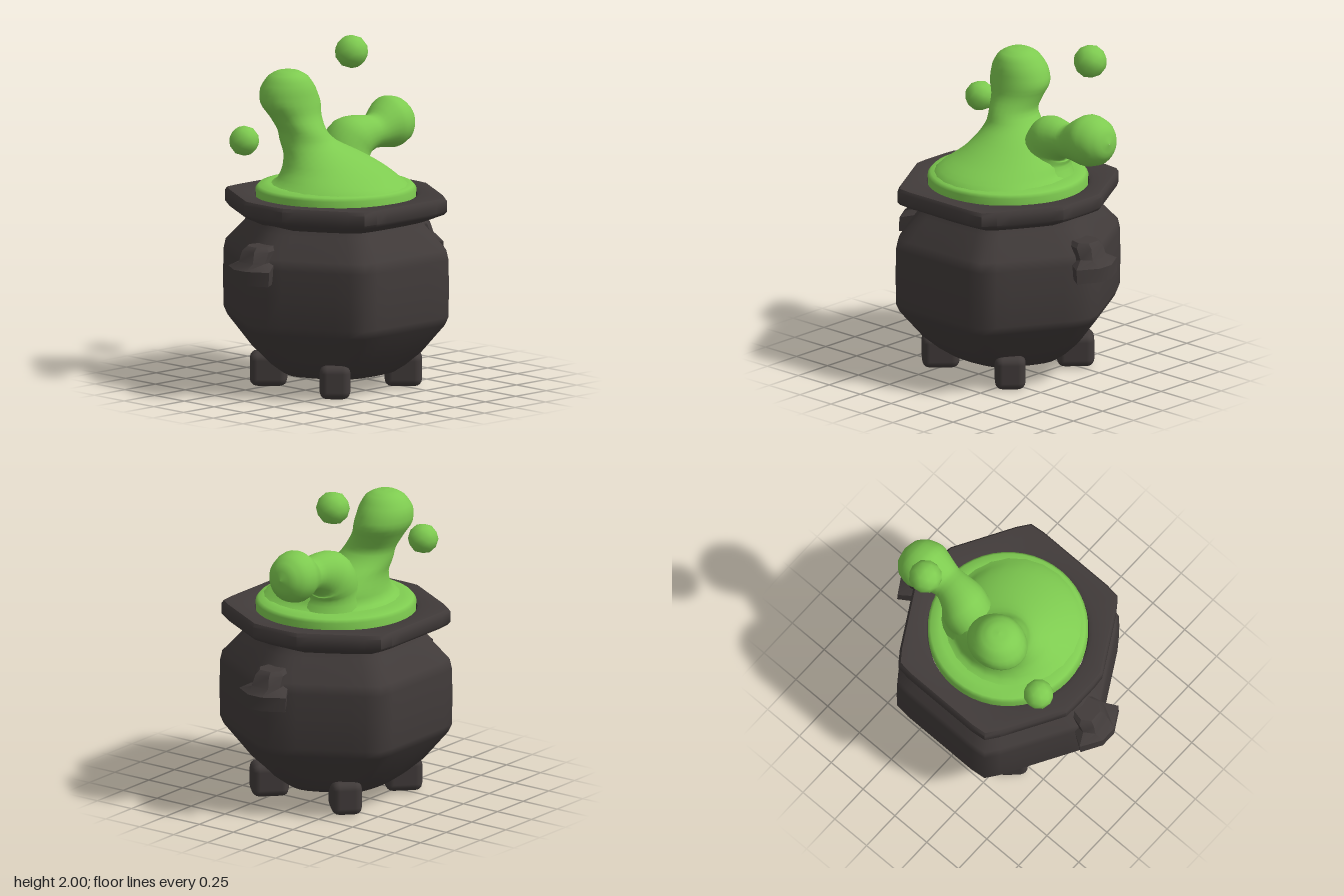
import * as THREE from 'three';
import { toCreasedNormals } from 'three/addons/utils/BufferGeometryUtils.js';
import { RoundedBoxGeometry } from 'three/addons/geometries/RoundedBoxGeometry.js';

const iron = new THREE.MeshStandardMaterial({ color: 0x413b3a });
iron.name = 'dark iron';
const slime = new THREE.MeshStandardMaterial({ color: 0x7ecb50 });
slime.name = 'green potion';

// Skin a stack of closed rings, listed from bottom to top.
function loft(rings) {
  const n = rings[0].length;
  const index = [];
  for (let i = 0; i < rings.length - 1; i++) {
    for (let j = 0; j < n; j++) {
      const k = (j + 1) % n;
      const a = i * n + j, b = i * n + k, c = b + n, d = a + n;
      index.push(a, b, c, a, c, d);
    }
  }
  const geo = new THREE.BufferGeometry().setFromPoints(rings.flat());
  geo.setIndex(index);
  geo.computeVertexNormals();
  return geo;
}

function part(name, geo, material) {
  const mesh = new THREE.Mesh(geo, material);
  mesh.name = name;
  return mesh;
}

// Ring between a circle (hex = 0) and a hexagon (hex = 1) with clipped front and back tips.
function potRing(y, r, hex, tip, n = 48) {
  return Array.from({ length: n }, (_, j) => {
    const t = (j / n) * Math.PI * 2;
    const toFlat = ((t + Math.PI * 2) % (Math.PI / 3)) - Math.PI / 6;
    let d = 1 / Math.cos(toFlat);
    d = Math.min(d, 1.135, tip / Math.max(Math.abs(Math.cos(t)), 0.01));
    d = 1 + (d - 1) * hex;
    return new THREE.Vector3(Math.sin(t) * r * d, y, Math.cos(t) * r * d);
  });
}

// Smooth stalk through keys [x, y, z, half width, half depth, tilt towards the back].
function stalk(keys, steps, n = 24) {
  const pos = new THREE.CatmullRomCurve3(keys.map((k) => new THREE.Vector3(k[0], k[1], k[2])));
  const size = new THREE.CatmullRomCurve3(keys.map((k) => new THREE.Vector3(k[3], k[4], k[5])));
  const rings = [];
  for (let i = 0; i <= steps; i++) {
    const p = pos.getPoint(i / steps), s = size.getPoint(i / steps);
    rings.push(Array.from({ length: n }, (_, j) => {
      const t = (j / n) * Math.PI * 2;
      const u = Math.sin(t) * Math.max(s.x, 0.001), v = Math.cos(t) * Math.max(s.y, 0.001);
      return new THREE.Vector3(p.x + u, p.y + v * Math.sin(s.z), p.z + v * Math.cos(s.z));
    }));
  }
  return loft(rings);
}

// Six-sided handle ring: front half width and z, widest half width and z, back half width.
function handleRing([y, f, zf, w, zw, b]) {
  const zb = 0.57;
  return [[f, zf], [w, zw], [b, zb], [-b, zb], [-w, zw], [-f, zf]]
    .map(([x, z]) => new THREE.Vector3(x, y, z));
}

export function createModel() {
  const model = new THREE.Group();
  model.name = 'cauldron';

  // Bulging six-sided pot: [y, radius to the flats, hexagon amount]
  const body = [
    [0.08, 0.001, 0], [0.08, 0.26, 0.4], [0.095, 0.33, 0.5], [0.14, 0.39, 0.6],
    [0.22, 0.465, 0.85], [0.39, 0.585, 1], [0.44, 0.605, 1], [0.62, 0.607, 1],
    [0.78, 0.605, 1], [0.84, 0.593, 1], [0.97, 0.49, 0.9], [1.04, 0.46, 0.8],
  ];
  model.add(part('pot', loft(body.map(([y, r, h]) => potRing(y, r, h, 1.105))), iron));

  // Heavy rim, hexagonal outside and round inside
  const rim = [
    [0.99, 0.45, 0.6], [1.0, 0.48, 0.8], [1.05, 0.582, 1], [1.07, 0.598, 1],
    [1.13, 0.598, 1], [1.15, 0.585, 1], [1.15, 0.5, 0.15], [1.14, 0.478, 0], [1.05, 0.465, 0],
  ];
  const rimGeo = loft(rim.map(([y, r, h]) => potRing(y, r, h, 1.01)));
  model.add(part('rim', toCreasedNormals(rimGeo, 0.7), iron));

  // Horn-shaped handles, front and back
  const handle = [
    [0.70, 0, 0.71, 0, 0.7, 0], [0.70, 0.05, 0.79, 0.17, 0.72, 0.07],
    [0.785, 0.05, 0.79, 0.172, 0.715, 0.08], [0.825, 0.06, 0.74, 0.1, 0.68, 0.08],
    [0.89, 0.05, 0.72, 0.1, 0.65, 0.08], [0.915, 0.04, 0.69, 0.075, 0.64, 0.06],
    [0.915, 0, 0.65, 0, 0.64, 0],
  ];
  const handleGeo = toCreasedNormals(loft(handle.map(handleRing)), 0.6);
  for (const [name, turn] of [['frontHandle', 0], ['backHandle', Math.PI]]) {
    const mesh = part(name, handleGeo, iron);
    mesh.rotation.y = turn;
    model.add(mesh);
  }

  // Four stubby feet on the diagonals
  const footGeo = new RoundedBoxGeometry(0.18, 0.2, 0.22, 2, 0.045);
  for (const sx of [-1, 1]) {
    for (const sz of [-1, 1]) {
      const foot = part('foot', footGeo, iron);
      foot.position.set(sx * 0.28, 0.1, sz * 0.28);
      foot.rotation.y = (sx * sz * Math.PI) / 4;
      model.add(foot);
    }
  }

  // Potion surface filling the opening
  const pool = [[1.1, 0.47], [1.18, 0.472], [1.2, 0.455], [1.215, 0.4], [1.22, 0.001]];
  model.add(part('potionSurface', loft(pool.map(([y, r]) => potRing(y, r, 0, 2))), slime));

  // Main splash, sloping up out of the pool to a rounded head
  const splash = [
    [0.01, 1.18, 0, 0.45, 0.45, 0], [0.035, 1.23, 0.01, 0.375, 0.375, 0],
    [-0.02, 1.3, 0.0, 0.295, 0.31, 0], [-0.09, 1.38, 0.03, 0.215, 0.235, 0],
    [-0.145, 1.45, 0.085, 0.17, 0.165, 0], [-0.17, 1.52, 0.115, 0.155, 0.135, 0],
    [-0.215, 1.6, 0.125, 0.152, 0.157, 0], [-0.247, 1.68, 0.135, 0.165, 0.19, 0],
    [-0.255, 1.76, 0.145, 0.157, 0.17, 0], [-0.25, 1.83, 0.15, 0.12, 0.12, 0],
    [-0.25, 1.862, 0.15, 0.065, 0.065, 0], [-0.25, 1.87, 0.15, 0, 0, 0],
  ];
  model.add(part('tallSplash', stalk(splash, 33), slime));

  // Second splash, bending over the back of the rim
  const arm = [
    [-0.08, 1.16, -0.17, 0.23, 0.24, 0], [-0.11, 1.26, -0.18, 0.17, 0.17, 0.05],
    [-0.13, 1.36, -0.205, 0.15, 0.15, 0.4], [-0.125, 1.425, -0.25, 0.145, 0.145, 0.95],
    [-0.105, 1.445, -0.33, 0.115, 0.115, 1.35], [-0.095, 1.45, -0.4, 0.105, 0.1, 1.5],
    [-0.105, 1.47, -0.47, 0.13, 0.128, 1.45], [-0.115, 1.485, -0.55, 0.155, 0.155, 1.45],
    [-0.12, 1.49, -0.63, 0.135, 0.135, 1.45], [-0.12, 1.495, -0.685, 0.08, 0.08, 1.45],
    [-0.12, 1.495, -0.705, 0, 0, 1.45],
  ];
  model.add(part('backSplash', stalk(arm, 30), slime));

  // Flying drops
  for (const [x, y, z, r] of [[-0.28, 1.9, -0.4, 0.1], [-0.275, 1.485, 0.485, 0.09]]) {
    const drop = part('drop', new THREE.IcosahedronGeometry(r, 1), slime);
    drop.position.set(x, y, z);
    model.add(drop);
  }
  return model;
}
